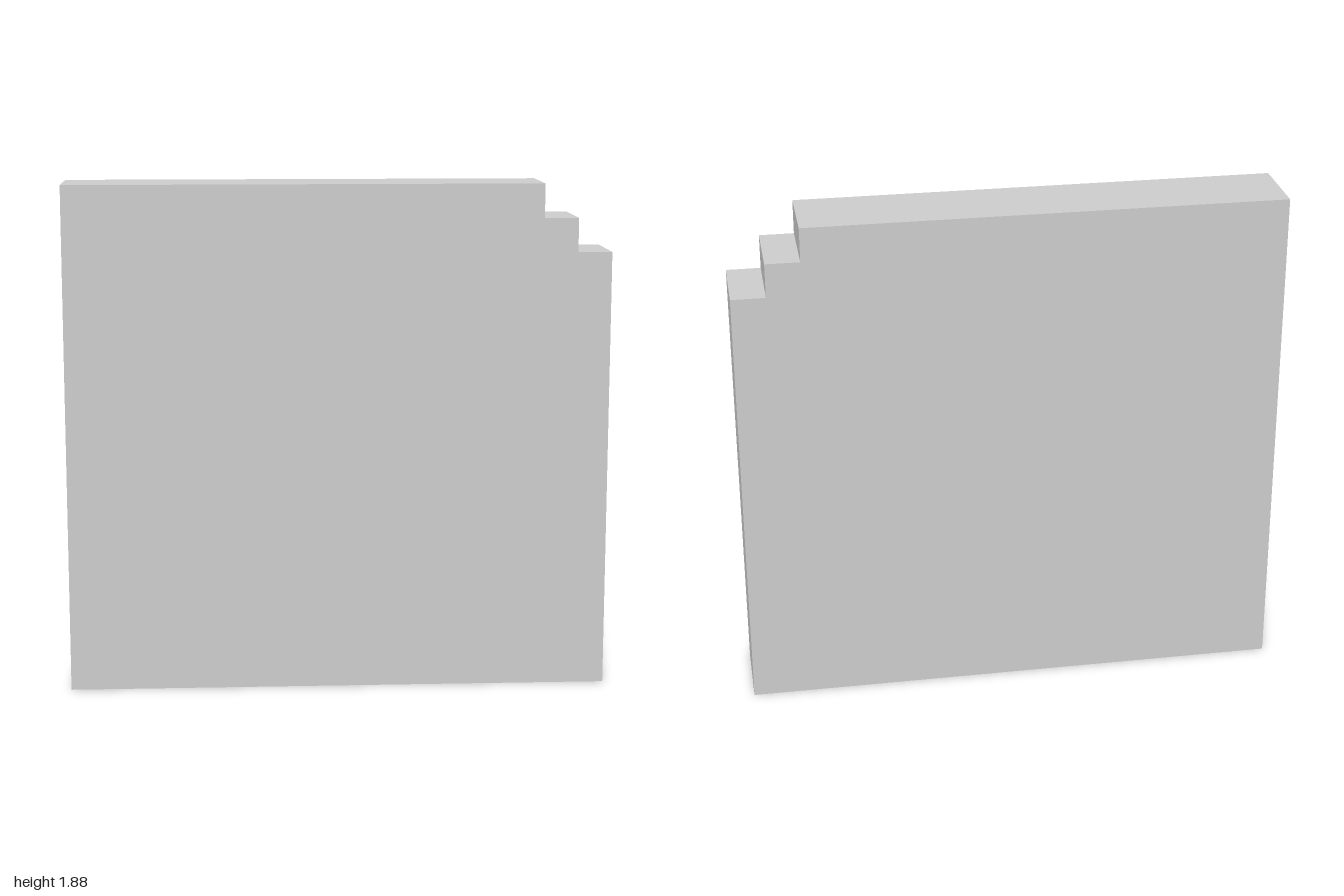
import * as THREE from 'three';

export function createModel() {
  const group = new THREE.Group();
  const height = 1.878, depth = 0.286, step = 0.125, steps = 2;

  // Front outline: a slab whose upper left corner is cut into stairs
  const outline = new THREE.Shape();
  outline.moveTo(-1, 0);
  outline.lineTo(1, 0);
  for (let i = steps; i > 0; i--) {
    const x = 1 - (steps - i) * step;
    outline.lineTo(x, height - i * step);
    outline.lineTo(x - step, height - i * step);
  }
  outline.lineTo(1 - steps * step, height);
  outline.lineTo(-1, height);
  outline.closePath();

  // Stepped wall slab, centred in depth
  const geometry = new THREE.ExtrudeGeometry(outline, { depth, bevelEnabled: false });
  geometry.translate(0, 0, -depth / 2);
  const wall = new THREE.Mesh(
    geometry,
    new THREE.MeshStandardMaterial({ color: 0xcccccc, flatShading: true })
  );
  wall.name = 'steppedWall';
  group.add(wall);
  return group;
}
